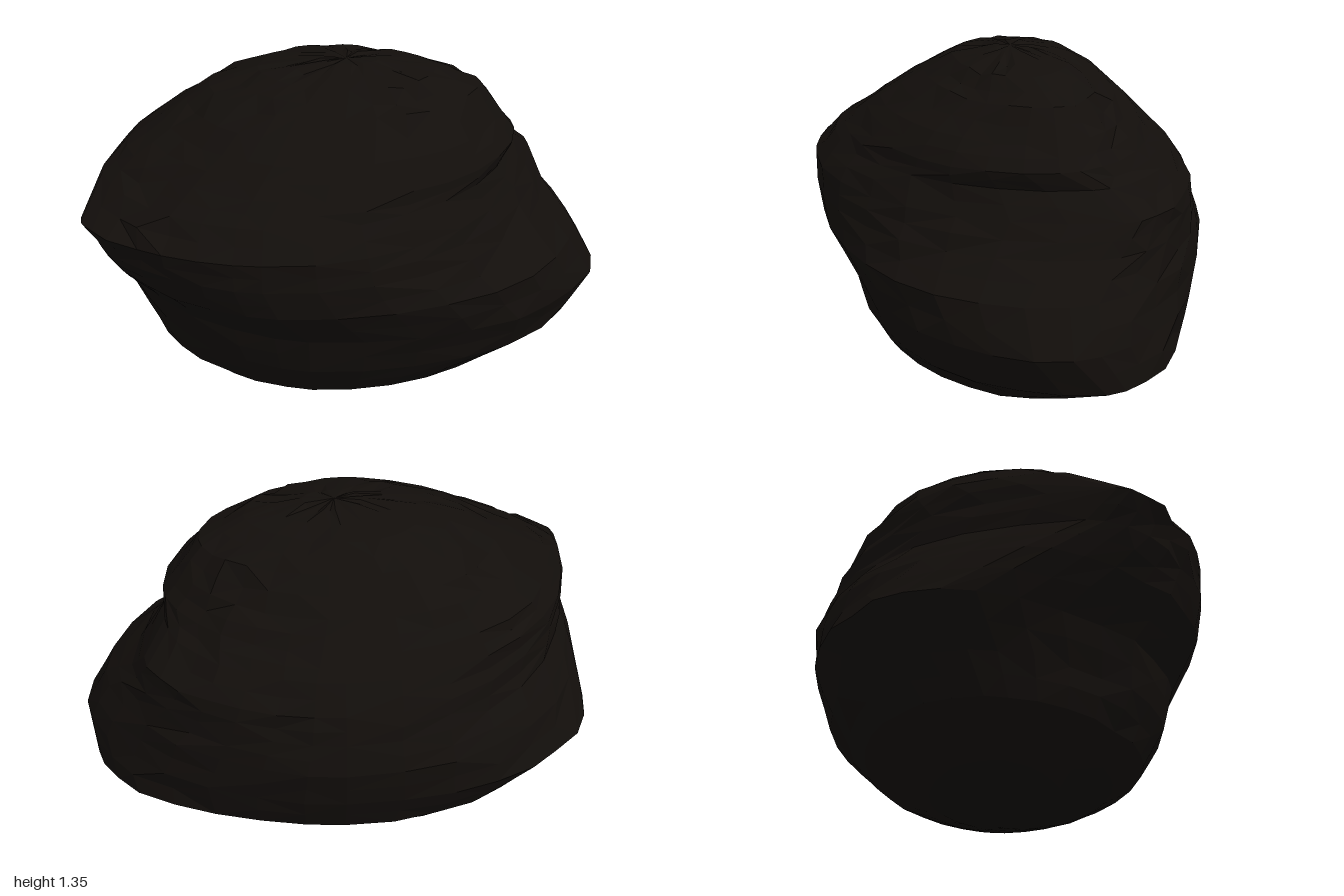
import * as THREE from 'three';

// Horizontal sections, bottom to top. Each names its four extreme points:
// y, left x/z (-x side), right x/z (+x side), front x/z, back x/z
const SECTIONS = [
  [0.00, -0.10, 0.00, 0.10, 0.00, 0.00, 0.06, 0.00, -0.06],
  [0.04, -0.55, 0.00, 0.25, 0.00, -0.10, 0.22, -0.10, -0.29],
  [0.10, -0.68, 0.00, 0.46, -0.05, -0.10, 0.40, -0.05, -0.41],
  [0.18, -0.79, -0.03, 0.70, -0.10, -0.10, 0.52, 0.00, -0.54],
  [0.32, -0.86, -0.08, 0.96, -0.20, -0.10, 0.60, 0.00, -0.68],
  [0.48, -1.00, -0.16, 1.00, -0.07, -0.10, 0.64, 0.00, -0.735],
  [0.64, -0.98, 0.12, 0.91, -0.07, -0.20, 0.74, 0.00, -0.76],
  [0.76, -0.94, 0.33, 0.79, -0.20, -0.25, 0.76, 0.00, -0.73],
  [0.87, -0.96, 0.44, 0.73, -0.30, -0.25, 0.76, 0.00, -0.70],
  [0.97, -0.92, 0.20, 0.65, -0.20, -0.25, 0.68, 0.00, -0.63],
  [1.04, -0.84, 0.10, 0.655, -0.08, -0.20, 0.60, -0.03, -0.56],
  [1.13, -0.70, 0.05, 0.59, -0.08, -0.15, 0.50, -0.05, -0.47],
  [1.24, -0.53, 0.00, 0.51, -0.08, -0.10, 0.33, -0.05, -0.35],
  [1.31, -0.34, 0.00, 0.34, -0.03, -0.05, 0.22, -0.03, -0.24],
  [1.35, -0.10, 0.00, 0.12, 0.00, 0.00, 0.06, 0.00, -0.08],
];
// Fullness of the front right, back right, back left and front left quarters
// (below 1 is squarer than an ellipse, above 1 is flatter)
const EXPONENTS = [1.02, 1.14, 0.94, 1.17];
const SIDES = 32;
const QUARTER = SIDES / 4;

// Small repeatable roughness, fading to zero at the extreme points
function roughness(ring, side) {
  const s = Math.sin(ring * 12.99 + side * 78.23) * 43758.55;
  const fade = Math.sin((side % QUARTER) / QUARTER * Math.PI);
  return 1 + (s - Math.floor(s) - 0.5) * 0.035 * fade;
}

// One point of a section: four curved quarters joined at the extreme points
function sectionPoint([y, lx, lz, rx, rz, fx, fz, bx, bz], ring, side) {
  const extremes = [[fx, fz], [rx, rz], [bx, bz], [lx, lz]];
  const q = Math.floor(side / QUARTER);
  const from = extremes[q], to = extremes[(q + 1) % 4];
  const t = (side % QUARTER) / QUARTER * Math.PI / 2;
  const s = Math.sin(t) ** EXPONENTS[q], c = Math.cos(t) ** EXPONENTS[q];
  // Front and back leave along x, the two sides leave along z
  const alongX = q % 2 === 0;
  const x = from[0] + (to[0] - from[0]) * (alongX ? s : 1 - c);
  const z = from[1] + (to[1] - from[1]) * (alongX ? 1 - c : s);
  const r = roughness(ring, side);
  return [x * r, y * Math.min(r, 1), z * r];
}

function rockGeometry() {
  // Insert a section halfway between each pair
  const rings = [];
  SECTIONS.forEach((row, i) => {
    rings.push(row);
    const next = SECTIONS[i + 1];
    if (next) rings.push(row.map((v, k) => (v + next[k]) / 2));
  });

  const positions = [], index = [];
  rings.forEach((row, i) => {
    for (let j = 0; j < SIDES; j++) positions.push(...sectionPoint(row, i, j));
  });
  const top = rings.length - 1;
  const bottomCentre = rings.length * SIDES, topCentre = bottomCentre + 1;
  positions.push(0, 0, 0, 0, 1.35, 0);

  for (let j = 0; j < SIDES; j++) {
    const k = (j + 1) % SIDES;
    for (let i = 0; i < top; i++) {
      const a = i * SIDES + j, b = i * SIDES + k, c = b + SIDES, d = a + SIDES;
      // Alternate the diagonal for irregular facets
      if ((i * 3 + j) % 5 < 2) index.push(a, b, d, b, c, d);
      else index.push(a, b, c, a, c, d);
    }
    index.push(bottomCentre, k, j);
    index.push(topCentre, top * SIDES + j, top * SIDES + k);
  }

  const geometry = new THREE.BufferGeometry();
  geometry.setAttribute('position', new THREE.Float32BufferAttribute(positions, 3));
  geometry.setIndex(index);
  geometry.computeVertexNormals();
  return geometry;
}

export function createModel() {
  const group = new THREE.Group();
  group.name = 'rock';
  const material = new THREE.MeshStandardMaterial({ color: 0x120e0b, flatShading: true });
  const boulder = new THREE.Mesh(rockGeometry(), material);
  boulder.name = 'boulder';
  group.add(boulder);
  return group;
}
